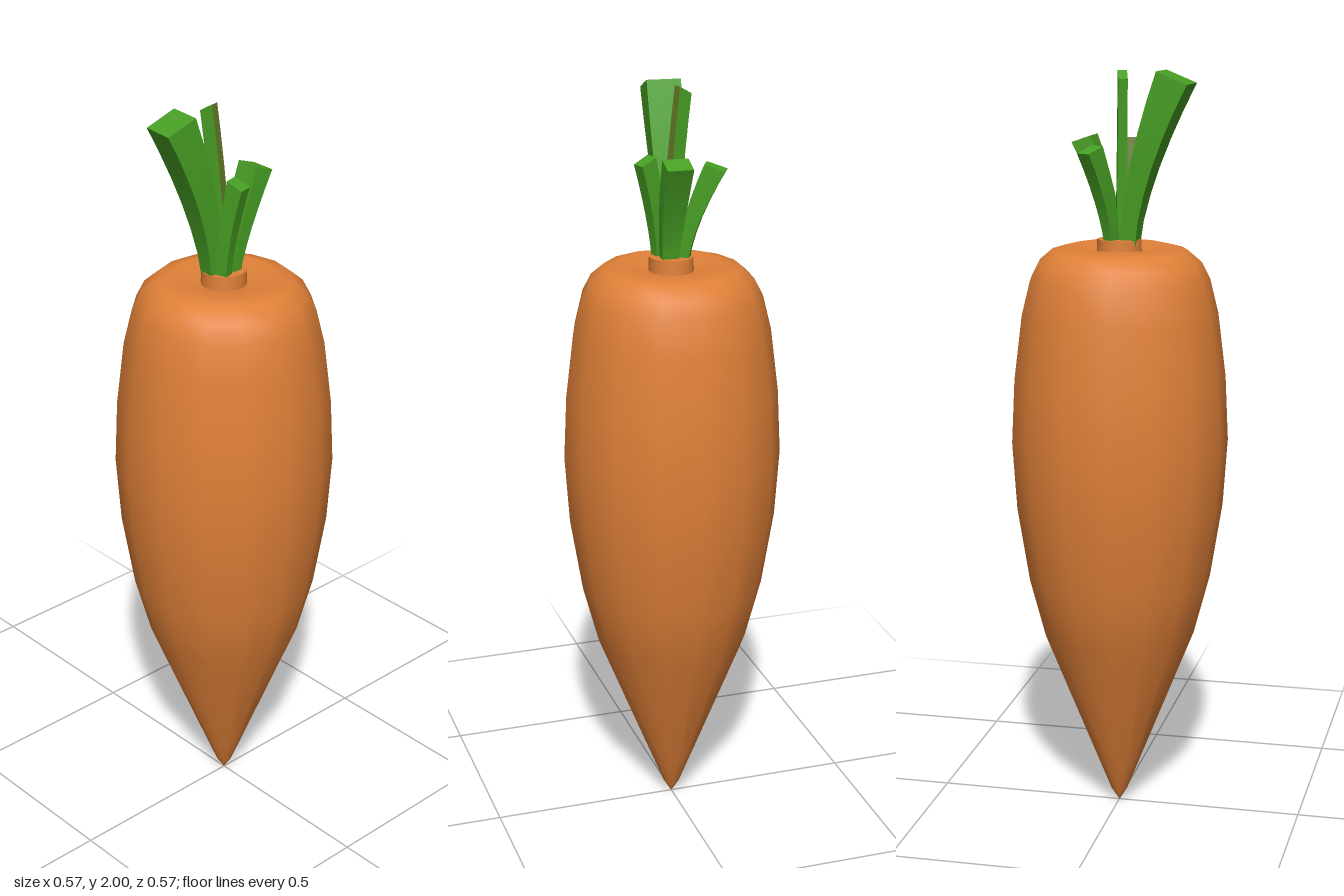
import * as THREE from 'three';
import { toCreasedNormals } from 'three/addons/utils/BufferGeometryUtils.js';

const mat = (name, color) => new THREE.MeshStandardMaterial({ name, color });
const lerp = THREE.MathUtils.lerp;
const STEPS = 6;
const BASE_Y = 1.54;

// Four-sided stalk that curves outward along local +z as it rises and widens.
// inner and outer are [base z, tip z, tip y]; width is [base, tip] half width.
function stalkGeometry({ inner, outer, width }) {
  const pos = [], idx = [];
  for (let s = 0; s <= STEPS; s++) {
    const t = s / STEPS, bend = t ** 1.55;
    const w = lerp(...width, Math.sin(t * Math.PI / 2));
    const iz = lerp(inner[0], inner[1], bend), iy = lerp(BASE_Y, inner[2], t);
    const oz = lerp(outer[0], outer[1], bend), oy = lerp(BASE_Y, outer[2], t);
    pos.push(-w, iy, iz, w, iy, iz, w, oy, oz, -w, oy, oz);
  }
  // Sides in the order inner, right, outer, left
  for (let side = 0; side < 4; side++) {
    for (let s = 0; s < STEPS; s++) {
      const a = s * 4 + side, b = s * 4 + (side + 1) % 4;
      idx.push(a, a + 4, b, b, a + 4, b + 4);
    }
  }
  // Flat tip
  const t = STEPS * 4;
  idx.push(t, t + 3, t + 2, t, t + 2, t + 1);
  // The inner side has its own colour
  const geo = new THREE.BufferGeometry();
  geo.addGroup(0, STEPS * 6, 1);
  geo.addGroup(STEPS * 6, idx.length - STEPS * 6, 0);
  geo.setAttribute('position', new THREE.Float32BufferAttribute(pos, 3));
  geo.setIndex(idx);
  return toCreasedNormals(geo, 0.7);
}

export function createModel() {
  const model = new THREE.Group();
  model.name = 'carrot';
  const orange = mat('carrotOrange', 0xe08038);
  const green = mat('leafGreen', 0x48a024);
  const olive = mat('leafOlive', 0x647a28);

  // Tapered root with a shallow dimple on top
  const profile = [
    [0, 0], [0.022, 0.035], [0.06, 0.13], [0.203, 0.49], [0.245, 0.65],
    [0.277, 0.85], [0.289, 1.03], [0.281, 1.2], [0.26, 1.37], [0.238, 1.46],
    [0.215, 1.505], [0.18, 1.535], [0.13, 1.548], [0.05, 1.525], [0, 1.525],
  ].map(([r, y]) => new THREE.Vector2(r, y));
  const root = new THREE.Mesh(new THREE.LatheGeometry(profile, 15, Math.PI), orange);
  root.name = 'root';
  model.add(root);

  // Small collar that the stalks grow from
  const collar = new THREE.Mesh(
    toCreasedNormals(new THREE.CylinderGeometry(0.058, 0.06, 0.045, 15), 0.7), orange);
  collar.name = 'collar';
  collar.position.y = 1.5425;
  model.add(collar);

  // Stalks: x and z of the base, heading, shape and inner colour
  const stalks = [
    { name: 'frontStalk', x: -0.005, z: 0, angle: -0.1, innerMat: green,
      inner: [0.008, 0.113, 2], outer: [0.05, 0.195, 1.968], width: [0.02, 0.045] },
    { name: 'backStalk', x: 0.01, z: 0, angle: 3.11, innerMat: green,
      inner: [0, 0.07, 1.833], outer: [0.028, 0.122, 1.815], width: [0.02, 0.034] },
    { name: 'rightStalk', x: 0, z: 0, angle: -2.06, innerMat: olive,
      inner: [0.012, 0.088, 1.812], outer: [0.045, 0.142, 1.795], width: [0.012, 0.02] },
    { name: 'leftStalk', x: 0.015, z: 0.027, angle: 1.855, innerMat: olive,
      inner: [-0.005, 0.032, 1.825], outer: [0.025, 0.074, 1.805], width: [0.012, 0.02] },
    { name: 'middleStalk', x: 0, z: 0.006, angle: -1.287, innerMat: olive,
      inner: [-0.02, 0.021, 2], outer: [0.015, 0.056, 1.98], width: [0.015, 0.012] },
  ];
  for (const stalk of stalks) {
    const mesh = new THREE.Mesh(stalkGeometry(stalk), [green, stalk.innerMat]);
    mesh.name = stalk.name;
    mesh.position.set(stalk.x, 0, stalk.z);
    mesh.rotation.y = stalk.angle;
    model.add(mesh);
  }
  return model;
}
